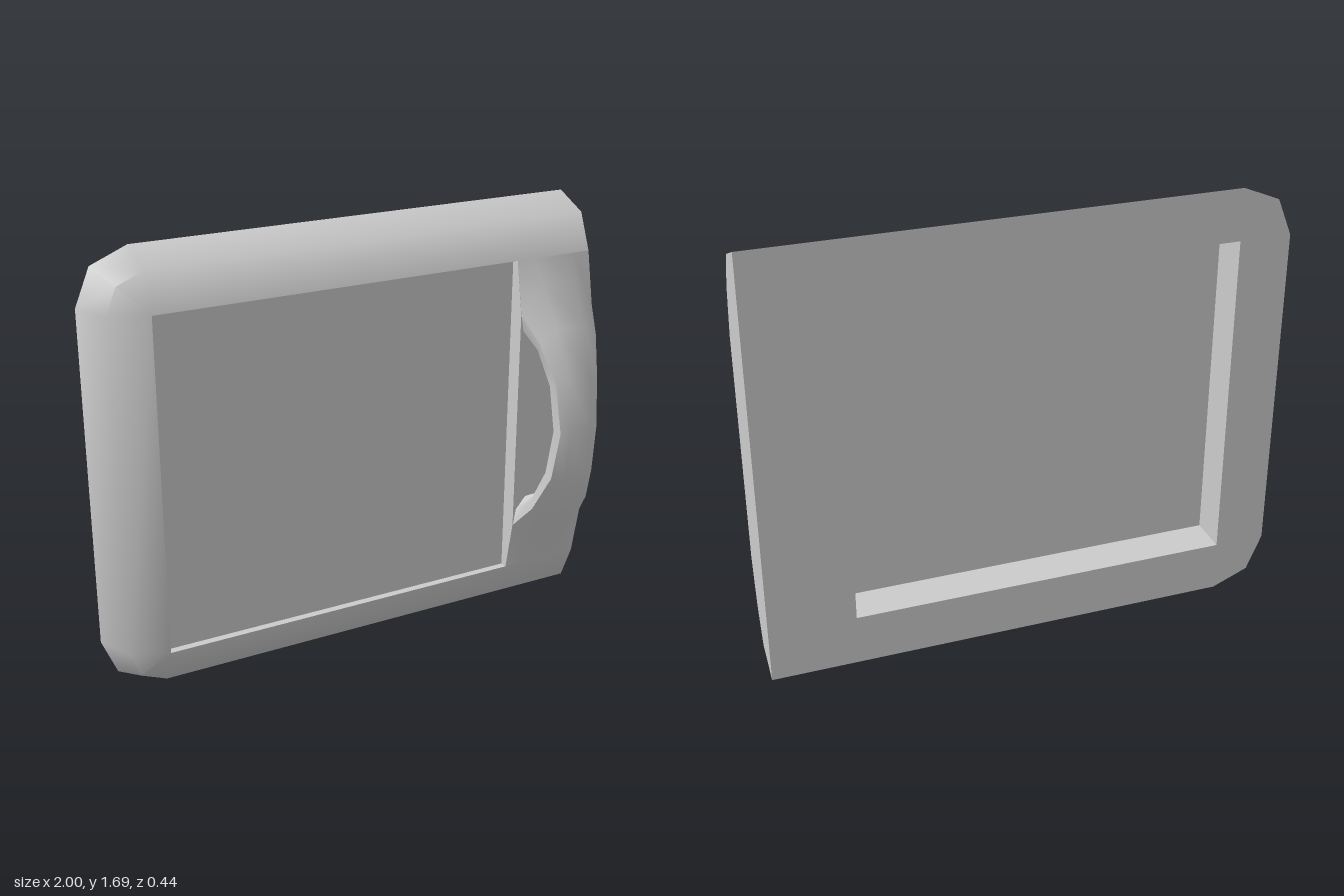
import * as THREE from 'three';
import { toCreasedNormals } from 'three/addons/utils/BufferGeometryUtils.js';

const LO = 0.2, HI = 1.49, MID = 0.845;       // window bottom, top, middle height
const LEFT = -0.8, RIGHT = 0.67, END = 1;     // window sides and flat end
const BACK = -0.22, FRONT = -0.02;
const HX = (RIGHT + END) / 2;                 // centre line of the handle

const grey = new THREE.MeshStandardMaterial({ color: 0xcccccc });
const greyDouble = new THREE.MeshStandardMaterial({ color: 0xcccccc, side: THREE.DoubleSide });

function add(parent, name, geometry, material = grey) {
  const mesh = new THREE.Mesh(geometry, material);
  mesh.name = name;
  parent.add(mesh);
  return mesh;
}

// Skin a list of cross-sections (rows of Vector3), skipping collapsed triangles
function loft(rows, closed, crease) {
  const pos = [];
  const tri = (...p) => {
    if (new THREE.Triangle(...p).getArea() > 1e-8) p.forEach(v => pos.push(v.x, v.y, v.z));
  };
  for (let s = 0; s < rows.length - 1; s++) {
    const n = rows[s].length;
    for (let i = 0; i < (closed ? n : n - 1); i++) {
      const j = (i + 1) % n;
      const a = rows[s][i], b = rows[s + 1][i], c = rows[s + 1][j], d = rows[s][j];
      tri(a, b, c);
      tri(a, c, d);
    }
  }
  const g = new THREE.BufferGeometry();
  g.setAttribute('position', new THREE.Float32BufferAttribute(pos, 3));
  return toCreasedNormals(g, crease);
}

const shapeOf = pts => new THREE.Shape(pts.map(p => new THREE.Vector2(...p)));

// Outline of the body, grown by r around the window
function outline(r) {
  const pts = [[END, LO - r]];
  for (const [cy, start] of [[LO, 270], [HI, 180]]) {
    for (let k = 0; k < 3; k++) {
      const t = THREE.MathUtils.degToRad(start - k * 45);
      pts.push([LEFT + r * Math.cos(t), cy + r * Math.sin(t)]);
    }
  }
  pts.push([END, HI + r]);
  return pts;
}

function makeBody() {
  const body = new THREE.Group();
  body.name = 'body';

  // rounded outer rim
  const layers = [[0.2, BACK], [0.14, -0.08], [0, FRONT]];
  const rows = layers.map(([r, z]) => outline(r).map(([x, y]) => new THREE.Vector3(x, y, z)));
  add(body, 'roundedRim', loft(rows, false, 0.9));

  // back face with the window opening
  const win = [[LEFT, LO], [RIGHT, LO], [RIGHT, HI], [LEFT, HI]];
  const back = shapeOf(outline(0.2));
  back.holes.push(new THREE.Path(win.map(p => new THREE.Vector2(...p))));
  add(body, 'backFace', new THREE.ShapeGeometry(back).translate(0, 0, BACK), greyDouble);

  // flat end
  const profile = layers.map(([r, z]) => [-z, HI + r])
    .concat(layers.map(([r, z]) => [-z, LO - r]).reverse());
  const end = new THREE.ShapeGeometry(shapeOf(profile)).rotateY(Math.PI / 2).translate(END, 0, 0);
  add(body, 'flatEnd', end, greyDouble);

  // inner walls of the window and the recessed panel
  const walls = [BACK, FRONT].map(z => win.map(([x, y]) => new THREE.Vector3(x, y, z)));
  add(body, 'windowWalls', loft(walls, true, 0.3), greyDouble);
  add(body, 'panel', new THREE.BoxGeometry(RIGHT - LEFT, HI - LO, 0.015)
    .translate((LEFT + RIGHT) / 2, MID, -0.0575));
  return body;
}

function makeHandle() {
  const handle = new THREE.Group();
  handle.name = 'handle';

  // raised pad under the grip
  const pad = shapeOf([[-FRONT, LO], [-FRONT, HI], [-0.018, 1.285], [-0.018 + 0.0, 0.405]]
    .map(([a, b]) => [a, b]));
  const padGeo = new THREE.ExtrudeGeometry(pad, { depth: END - RIGHT, bevelEnabled: false })
    .rotateY(Math.PI / 2).translate(RIGHT, 0, 0);
  add(handle, 'handlePad', padGeo);

  // grip: half sections from top to middle; each edge is [half width, y, z]
  // in the order crown, shoulder, opening edge, inner edge
  const half = [
    [[0.09, HI, FRONT], [0.165, HI, FRONT], [0.165, HI, FRONT], [0.165, HI, FRONT]],
    [[0.08, 1.40, 0.02], [0.165, 1.285, 0.02], [0.152, 1.22, 0.018], [0.11, 1.17, 0.018]],
    [[0.06, 1.235, 0.11], [0.132, 1.19, 0.10], [0.128, 1.16, 0.083], [0.09, 1.135, 0.075]],
    [[0.05, 1.05, 0.19], [0.097, 1.04, 0.17], [0.1, 1.025, 0.135], [0.07, 1.015, 0.12]],
    [[0.045, MID, 0.22], [0.085, MID, 0.20], [0.09, MID, 0.16], [0.06, MID, 0.135]],
  ];
  const mirrored = half.slice(0, 4).reverse()
    .map(sec => sec.map(([w, y, z]) => [w, 2 * MID - y, z]));
  const rows = [...half, ...mirrored].map(sec => [
    ...[...sec].reverse().map(([w, y, z]) => new THREE.Vector3(HX - w, y, z)),
    ...sec.map(([w, y, z]) => new THREE.Vector3(HX + w, y, z)),
  ]);
  add(handle, 'grip', loft(rows, true, 0.75));
  return handle;
}

export function createModel() {
  const model = new THREE.Group();
  model.name = 'framedPanel';
  model.add(makeBody(), makeHandle());
  return model;
}
